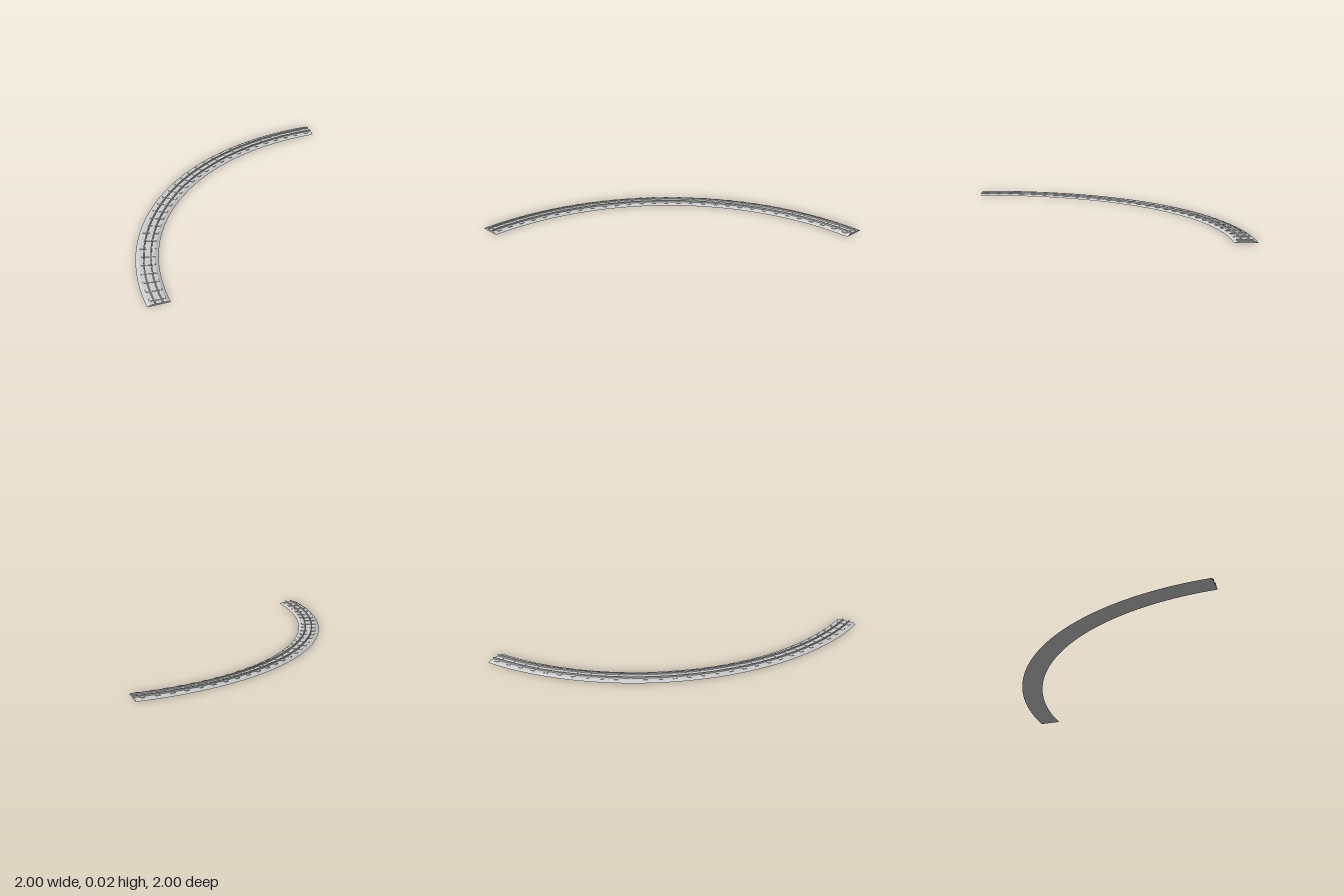
import * as THREE from 'three';

const CX = 1, CZ = 1;        // centre of the curve
const MID = 1.918;           // radius of the track's centre line
const SEGMENTS = 48, SLEEPERS = 30;
const mat = new THREE.MeshStandardMaterial({ color: 0xcccccc, flatShading: true });

// Sweeps a closed convex [radius, height] section through the quarter turn
function sweep(name, section) {
  const pos = [], n = section.length;
  const at = ([r, y], i) => {
    const a = (i / SEGMENTS) * Math.PI / 2;
    return [CX - r * Math.cos(a), y, CZ - r * Math.sin(a)];
  };
  const tri = (a, b, c) => pos.push(...a, ...b, ...c);
  for (let i = 0; i < SEGMENTS; i++) {
    for (let j = 0; j < n; j++) {
      const p = section[j], q = section[(j + 1) % n];
      tri(at(p, i), at(q, i + 1), at(q, i));
      tri(at(p, i), at(p, i + 1), at(q, i + 1));
    }
  }
  // end caps
  for (let j = 1; j < n - 1; j++) {
    tri(at(section[0], 0), at(section[j], 0), at(section[j + 1], 0));
    tri(at(section[0], SEGMENTS), at(section[j + 1], SEGMENTS), at(section[j], SEGMENTS));
  }
  const geo = new THREE.BufferGeometry();
  geo.setAttribute('position', new THREE.Float32BufferAttribute(pos, 3));
  geo.computeVertexNormals();
  const mesh = new THREE.Mesh(geo, mat);
  mesh.name = name;
  return mesh;
}

// Sections run clockwise with radius to the right and height up
const trapezoid = (r, bottom, top, y0, y1) => [
  [r - bottom / 2, y0], [r - top / 2, y1], [r + top / 2, y1], [r + bottom / 2, y0],
];

export function createModel() {
  const group = new THREE.Group();
  group.name = 'curvedTrack';

  // gravel bed with sloping shoulders
  group.add(sweep('ballastBed', trapezoid(1.92, 0.16, 0.11, 0, 0.011)));

  // sleepers laid across the bed
  const sleepers = new THREE.Group();
  sleepers.name = 'sleepers';
  const sleeperGeo = new THREE.BoxGeometry(0.112, 0.008, 0.03);
  for (let i = 0; i < SLEEPERS; i++) {
    const a = ((i + 0.5) / SLEEPERS) * Math.PI / 2;
    const sleeper = new THREE.Mesh(sleeperGeo, mat);
    sleeper.name = 'sleeper';
    sleeper.position.set(CX - MID * Math.cos(a), 0.01, CZ - MID * Math.sin(a));
    sleeper.rotation.y = -a;
    sleepers.add(sleeper);
  }
  group.add(sleepers);

  // two rails
  group.add(sweep('outerRail', trapezoid(MID + 0.025, 0.009, 0.008, 0.011, 0.022)));
  group.add(sweep('innerRail', trapezoid(MID - 0.025, 0.009, 0.008, 0.011, 0.022)));
  return group;
}
